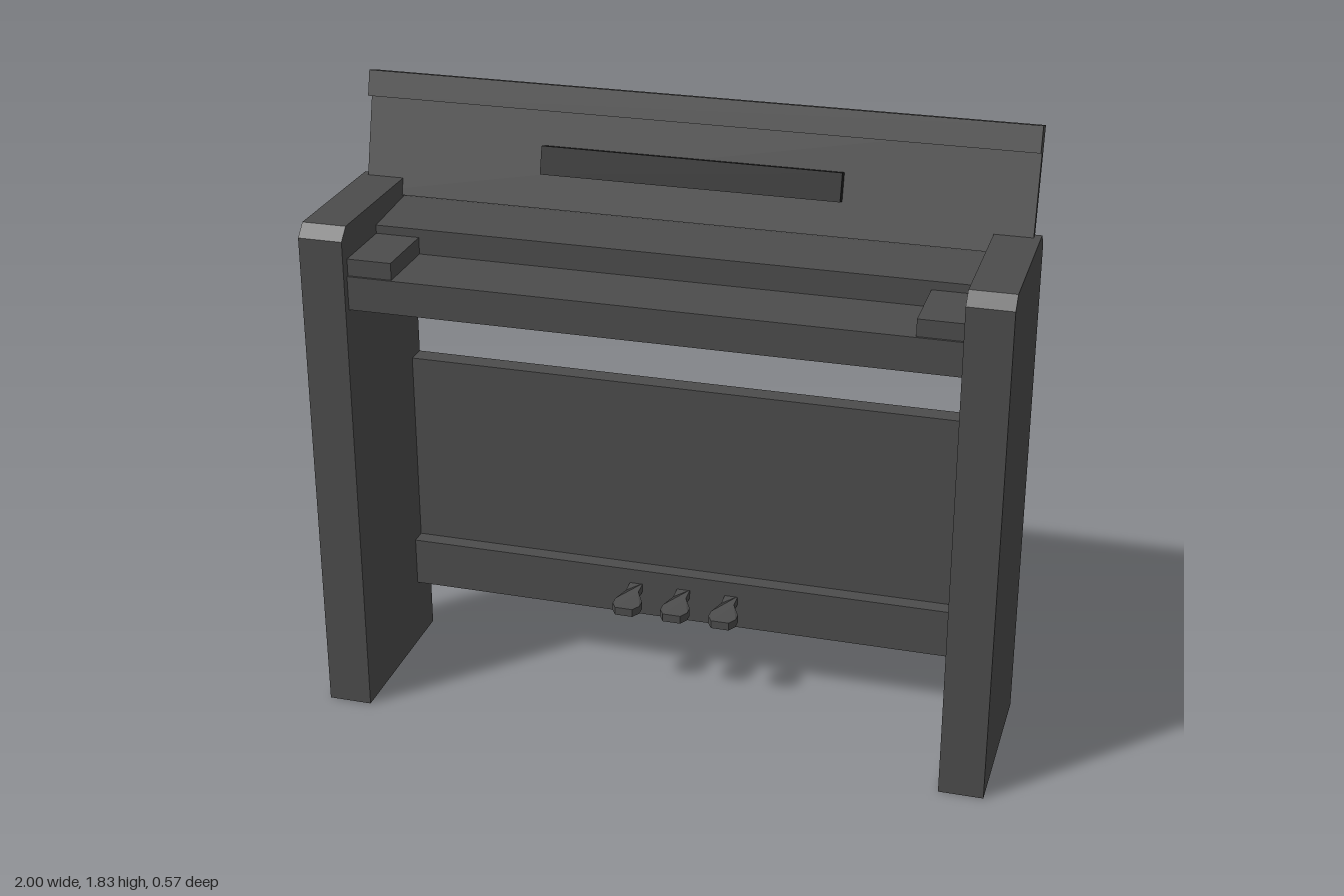
import * as THREE from 'three';

export function createModel() {
  const root = new THREE.Group();
  const body = new THREE.MeshStandardMaterial({ color: 0x4c4c4c });
  body.name = 'charcoal';
  const dark = new THREE.MeshStandardMaterial({ color: 0x202020 });
  dark.name = 'black';

  const add = (name, geometry, material = body, parent = root) => {
    const mesh = new THREE.Mesh(geometry, material);
    mesh.name = name;
    parent.add(mesh);
    return mesh;
  };
  // Box given by its limits on each axis
  const box = (name, x0, x1, y0, y1, z0, z1, material, parent) =>
    add(name, new THREE.BoxGeometry(x1 - x0, y1 - y0, z1 - z0)
      .translate((x0 + x1) / 2, (y0 + y1) / 2, (z0 + z1) / 2), material, parent);
  // Side profile of [z, y] points, extruded across x0..x1
  const profile = (name, points, x0, x1) => {
    const shape = new THREE.Shape(points.map(p => new THREE.Vector2(...p)));
    const geometry = new THREE.ExtrudeGeometry(shape, { depth: x1 - x0, bevelEnabled: false });
    return add(name, geometry.rotateY(-Math.PI / 2).translate(x1, 0, 0));
  };

  // Side panels with chamfered tops
  const side = [[-0.24, 0], [0.285, 0], [0.285, 1.49], [0.25, 1.525], [-0.205, 1.525], [-0.24, 1.49]];
  profile('leftSidePanel', side, 0.87, 1);
  profile('rightSidePanel', side, -1, -0.87);

  // Console: key bed, gently sloping rear cover and cheek blocks
  box('keyBed', -0.87, 0.87, 1.28, 1.38, -0.238, 0.262);
  profile('rearCover', [[-0.238, 1.38], [0.04, 1.38], [0.04, 1.455], [-0.17, 1.47], [-0.238, 1.47]], -0.87, 0.87);
  box('leftCheekBlock', 0.74, 0.87, 1.38, 1.43, 0.04, 0.255);
  box('rightCheekBlock', -0.87, -0.74, 1.38, 1.43, 0.04, 0.255);

  // Lower board and pedal rail
  box('lowerBoard', -0.87, 0.87, 0.2, 0.95, -0.238, -0.178);
  box('pedalRail', -0.87, 0.87, 0.2, 0.35, -0.178, -0.13);

  // Raised lid, leaning back, with front lip and music ledge
  const lid = new THREE.Group();
  lid.name = 'lid';
  lid.position.set(0, 1.47, -0.19);
  lid.rotation.x = -THREE.MathUtils.degToRad(15);
  root.add(lid);
  box('lidBoard', -0.98, 0.98, 0, 0.357, 0, 0.026, body, lid);
  box('lidLip', -0.98, 0.98, 0.282, 0.357, 0.026, 0.055, body, lid);
  box('musicLedge', -0.44, 0.44, 0.1, 0.182, 0.026, 0.056, dark, lid);

  // Pedals: paddle outline in [x, length], stepped down toward the tip
  const half = [[0.02, 0], [0.02, 0.05], [0.042, 0.085], [0.042, 0.115], [0.027, 0.14]];
  const outline = [...half, ...half.map(([x, l]) => [-x, l]).reverse()];
  for (const [name, x] of [['rightPedal', -0.15], ['middlePedal', 0], ['leftPedal', 0.15]]) {
    const shape = new THREE.Shape(outline.map(p => new THREE.Vector2(...p)));
    const geometry = new THREE.ExtrudeGeometry(shape, { depth: 0.025, bevelEnabled: false });
    geometry.rotateX(Math.PI / 2);
    const pos = geometry.attributes.position;
    for (let i = 0; i < pos.count; i++) {
      const drop = THREE.MathUtils.clamp((pos.getZ(i) - 0.04) / 0.045, 0, 1) * 0.015;
      pos.setY(i, pos.getY(i) - drop);
    }
    geometry.computeVertexNormals();
    add(name, geometry).position.set(x, 0.304, -0.135);
  }
  return root;
}
